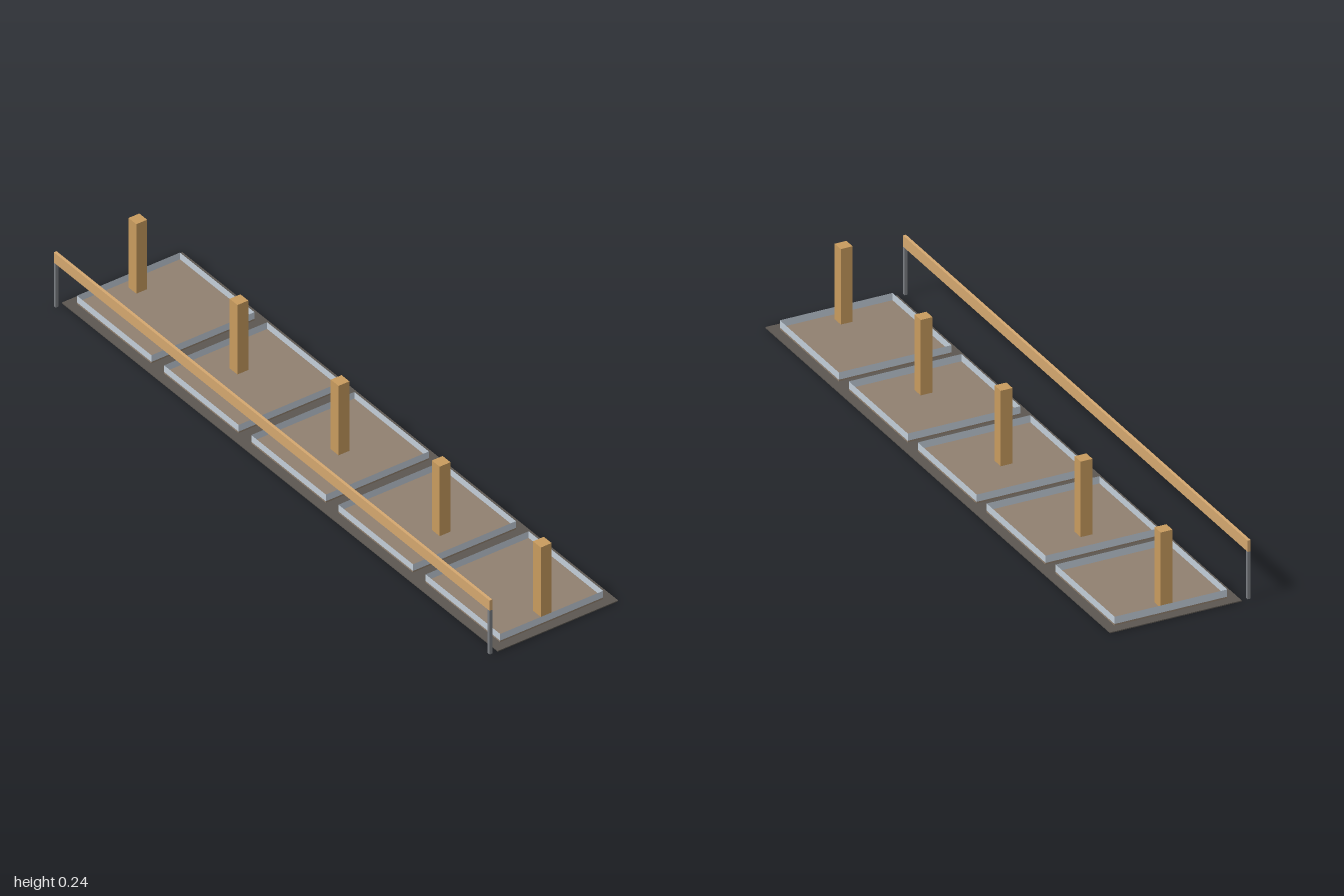
import * as THREE from 'three';

const mat = (color, extra = {}) => new THREE.MeshStandardMaterial({ color, ...extra });

export function createModel() {
  const group = new THREE.Group();
  const floorMat = mat(0x5c5751);
  const bedMat = mat(0x908070);
  const wallMat = mat(0xc3ced9, { side: THREE.DoubleSide, flatShading: true });
  const postMat = mat(0xc89b5e);
  const railMat = mat(0xd4a76f);
  const legMat = mat(0x7c7f84);
  const centreZ = -0.012;

  // box given by its size, centre in x and z, and bottom height
  const box = (name, material, w, h, d, x, bottom, z) => {
    const mesh = new THREE.Mesh(new THREE.BoxGeometry(w, h, d), material);
    mesh.name = name;
    mesh.position.set(x, bottom + h / 2, z);
    group.add(mesh);
  };

  box('floor', floorMat, 2, 0.003, 0.4, 0, 0, centreZ);

  // open four-sided band standing around the edge of each bed
  const size = 0.342;
  const band = new THREE.CylinderGeometry(size / Math.SQRT2, size / Math.SQRT2, 0.022, 4, 1, true, Math.PI / 4);

  for (let i = -2; i <= 2; i++) {
    const x = i * 0.4;
    box('bed', bedMat, size, 0.005, size, x, 0.003, centreZ);
    const wall = new THREE.Mesh(band, wallMat);
    wall.name = 'bedWall';
    wall.position.set(x, 0.019, centreZ);
    group.add(wall);

    box('post', postMat, 0.036, 0.231, 0.036, i * 0.464, 0.006, centreZ);
  }

  // front rail on two thin legs
  box('rail', railMat, 2, 0.034, 0.009, 0, 0.146, 0.2105);
  for (const side of [-1, 1]) {
    box('railLeg', legMat, 0.009, 0.144, 0.009, side * 0.9955, 0.002, 0.2105);
  }
  return group;
}
